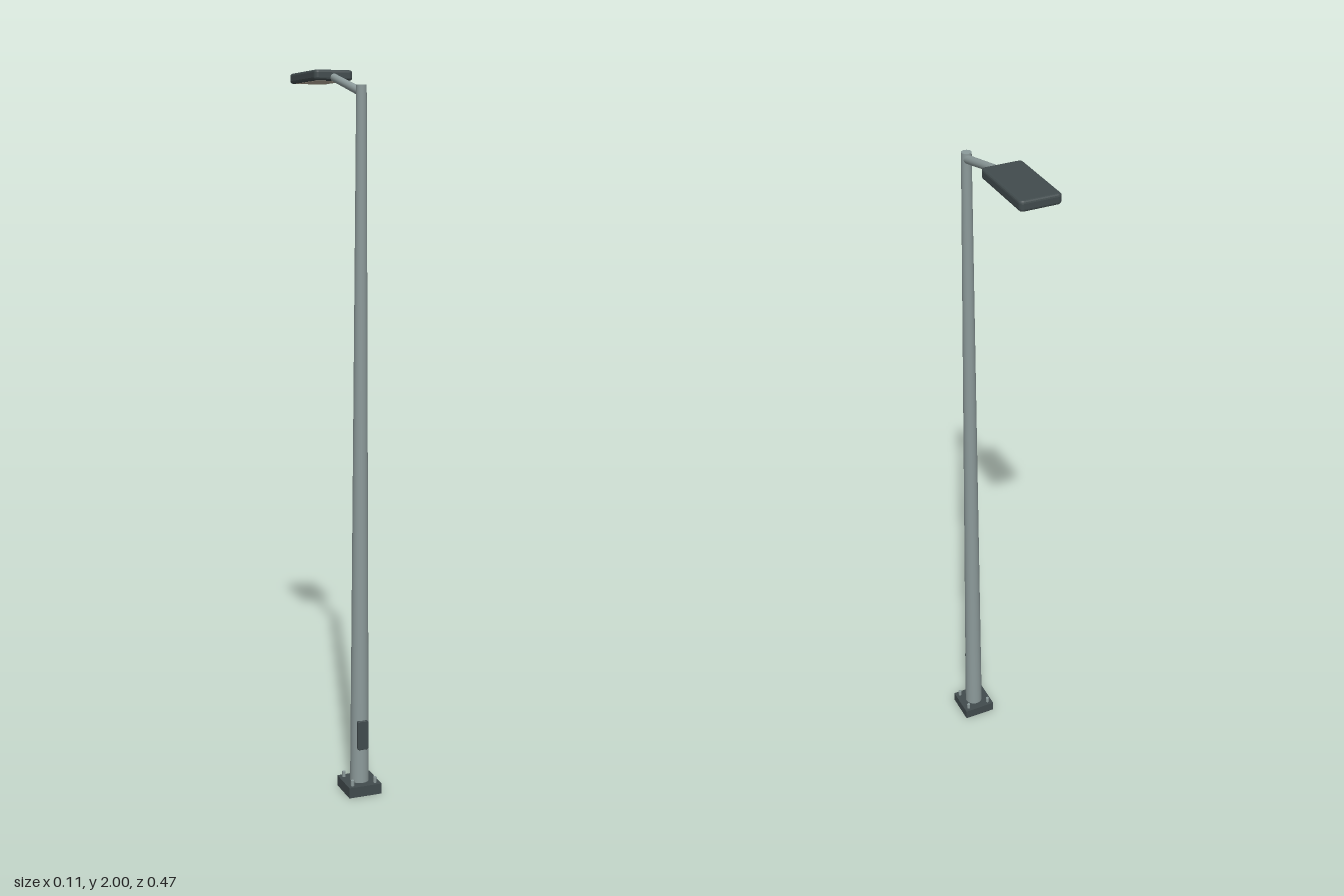
import * as THREE from 'three';

const steel = new THREE.MeshStandardMaterial({ color: 0x8c9a9a });
const dark = new THREE.MeshStandardMaterial({ color: 0x414b4d });
const lens = new THREE.MeshStandardMaterial({ color: 0xb5aa98 });
const POLE_Z = 0.186;

function add(parent, name, geometry, material, x, y, z) {
  const mesh = new THREE.Mesh(geometry, material);
  mesh.name = name;
  mesh.position.set(x, y, z);
  parent.add(mesh);
  return mesh;
}

// Horizontal slab with rounded corners and bevelled edges, centred on its origin
function slab(width, depth, height, radius, bevel) {
  const w = width / 2 - bevel, d = depth / 2 - bevel, r = radius;
  const s = new THREE.Shape();
  s.absarc(w - r, d - r, r, 0, Math.PI / 2);
  s.absarc(r - w, d - r, r, Math.PI / 2, Math.PI);
  s.absarc(r - w, r - d, r, Math.PI, Math.PI * 1.5);
  s.absarc(w - r, r - d, r, Math.PI * 1.5, Math.PI * 2);
  s.closePath();
  const g = new THREE.ExtrudeGeometry(s, {
    depth: height - 2 * bevel, bevelThickness: bevel, bevelSize: bevel,
    bevelSegments: 3, curveSegments: 5,
  });
  return g.translate(0, 0, bevel - height / 2).rotateX(-Math.PI / 2);
}

export function createModel() {
  const model = new THREE.Group();
  model.name = 'streetLight';

  // Base plate with four anchor bolts
  add(model, 'basePlate', new THREE.BoxGeometry(0.097, 0.03, 0.097), dark, 0, 0.015, POLE_Z);
  for (const sx of [-1, 1]) {
    for (const sz of [-1, 1]) {
      add(model, 'anchorBolt', new THREE.CylinderGeometry(0.005, 0.005, 0.018, 12), steel,
        sx * 0.034, 0.037, POLE_Z + sz * 0.034);
    }
  }

  // Tapered pole
  add(model, 'pole', new THREE.CylinderGeometry(0.0138, 0.0265, 1.92, 24), steel, 0, 0.99, POLE_Z);

  // Service door near the foot, on the front
  const door = slab(0.031, 0.085, 0.012, 0.003, 0.002).rotateX(Math.PI / 2);
  add(model, 'serviceDoor', door, dark, 0, 0.172, POLE_Z + 0.024);

  // Arm rising from the pole top to the lamp head
  const start = new THREE.Vector3(0, 1.931, POLE_Z);
  const end = new THREE.Vector3(0, 1.984, -0.04);
  const dir = end.clone().sub(start);
  const arm = add(model, 'arm', new THREE.CylinderGeometry(0.0105, 0.0115, dir.length(), 20), steel, 0, 0, 0);
  arm.position.addVectors(start, end).multiplyScalar(0.5);
  arm.quaternion.setFromUnitVectors(new THREE.Vector3(0, 1, 0), dir.normalize());

  // Lamp head with a light panel underneath
  add(model, 'lampHead', slab(0.112, 0.218, 0.028, 0.005, 0.007), dark, 0, 1.986, -0.127);
  add(model, 'lightPanel', new THREE.BoxGeometry(0.084, 0.004, 0.166), lens, 0, 1.973, -0.133);

  return model;
}
